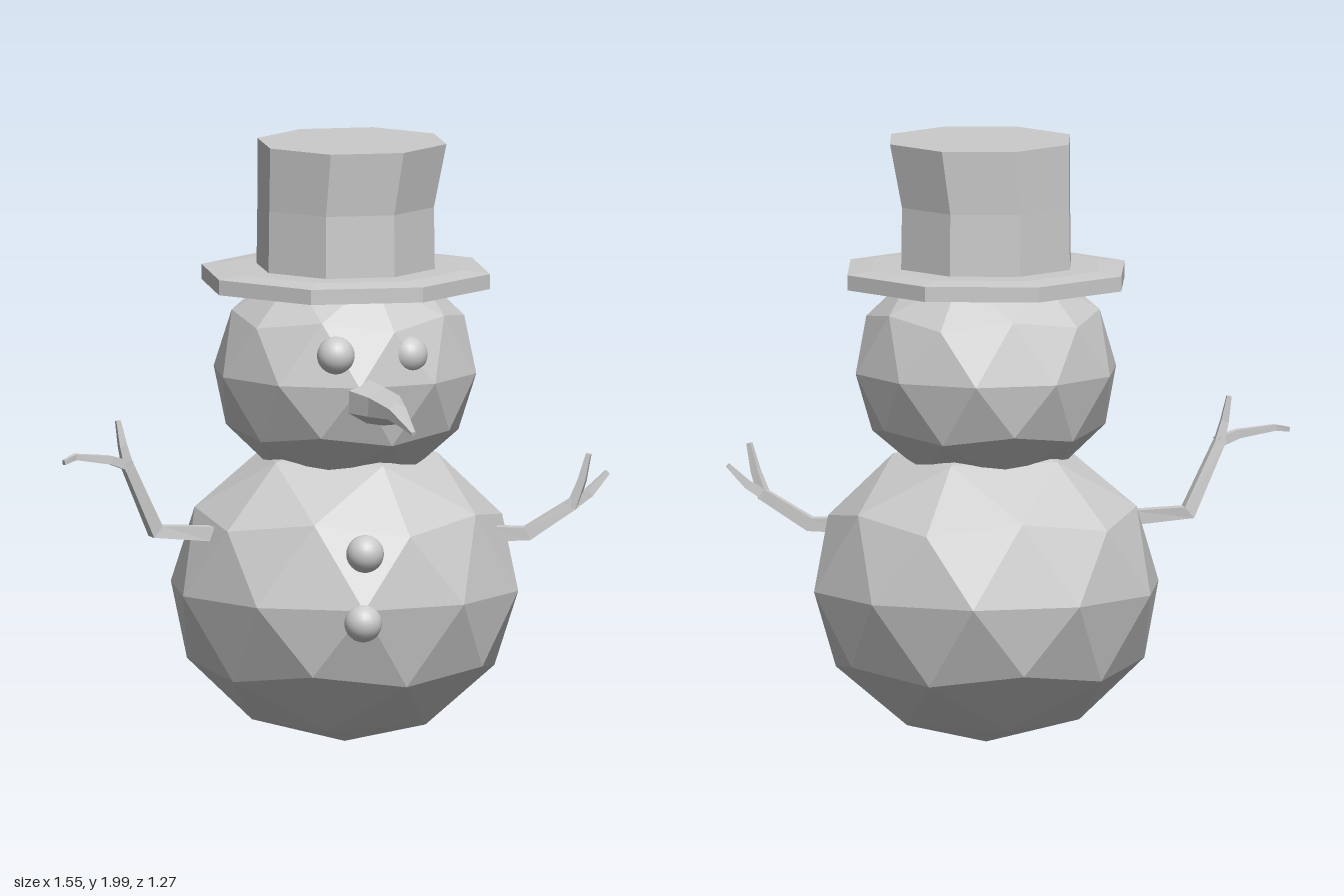
import * as THREE from 'three';

const flat = new THREE.MeshStandardMaterial({ color: 0xcccccc, flatShading: true });
const smooth = new THREE.MeshStandardMaterial({ color: 0xcccccc });
const rad = THREE.MathUtils.degToRad;

function add(group, name, geometry, material = flat) {
  const mesh = new THREE.Mesh(geometry, material);
  mesh.name = name;
  group.add(mesh);
  return mesh;
}

// Faceted snowball standing on one of its vertices
function snowball(group, name, center, rx, ry) {
  const g = new THREE.IcosahedronGeometry(1, 1);
  g.rotateZ(-Math.atan(2 / (1 + Math.sqrt(5))));
  g.rotateY(rad(-42));
  g.scale(rx, ry, rx);
  add(group, name, g).position.set(...center);
}

// Tapered tube: each station is [x, y, z, radius]
function loft(stations, sides) {
  const c = stations.map(s => new THREE.Vector3(s[0], s[1], s[2]));
  const last = c.length - 1;
  const u = new THREE.Vector3(0, 1, 0).cross(c[last].clone().sub(c[0])).normalize();
  const pos = [], idx = [];
  c.forEach((p, i) => {
    const t = c[Math.min(i + 1, last)].clone().sub(c[Math.max(i - 1, 0)]).normalize();
    const v = t.cross(u).normalize();
    for (let j = 0; j < sides; j++) {
      const a = ((j + 0.5) / sides) * Math.PI * 2, r = stations[i][3];
      const q = p.clone().addScaledVector(u, r * Math.cos(a)).addScaledVector(v, r * Math.sin(a));
      pos.push(q.x, q.y, q.z);
    }
  });
  for (let i = 0; i < last; i++) {
    for (let j = 0; j < sides; j++) {
      const k = (j + 1) % sides, a = i * sides, b = a + sides;
      idx.push(a + j, a + k, b + k, a + j, b + k, b + j);
    }
  }
  // End caps
  const e = last * sides;
  for (let j = 1; j < sides - 1; j++) idx.push(0, j + 1, j, e, e + j, e + j + 1);
  const g = new THREE.BufferGeometry();
  g.setAttribute('position', new THREE.Float32BufferAttribute(pos, 3));
  g.setIndex(idx);
  const out = g.toNonIndexed();
  out.computeVertexNormals();
  return out;
}

// Eight-sided turned part from [radius, y] points
function octagon(points, turn) {
  const g = new THREE.LatheGeometry(points.map(p => new THREE.Vector2(...p)), 8);
  g.rotateY(rad(-turn));
  return g;
}

function arm(group, name, limb, branches) {
  const g = new THREE.Group();
  g.name = name;
  add(g, 'limb', loft(limb, 4));
  branches.forEach(b => add(g, 'twig', loft(b, 4)));
  group.add(g);
}

export function createModel() {
  const model = new THREE.Group();
  model.name = 'snowman';

  snowball(model, 'body', [0.195, 0.522, -0.056], 0.582, 0.515);
  snowball(model, 'head', [0.195, 1.24, -0.054], 0.44, 0.39);

  // Hat: flat brim and a crown that flares and leans towards the top
  const hat = new THREE.Group();
  hat.name = 'hat';
  hat.position.set(0.186, 0, -0.043);
  model.add(hat);
  add(hat, 'brim', octagon([[0, 1.525], [0.487, 1.525], [0.487, 1.575], [0.4, 1.585], [0.28, 1.585]], 17));
  const crown = octagon([[0.3, 1.57], [0.297, 1.79], [0.318, 2], [0, 2]], 16);
  const p = crown.attributes.position;
  for (let i = 0; i < p.count; i++) {
    if (p.getY(i) > 1.9) p.setXYZ(i, p.getX(i) + 0.011, p.getY(i), p.getZ(i) + 0.018);
  }
  add(hat, 'crown', crown);

  // Eyes and buttons
  const balls = [
    ['leftEye', 0.1, 1.335, 0.31], ['rightEye', -0.125, 1.345, 0.19],
    ['upperButton', -0.155, 0.705, 0.345], ['lowerButton', -0.187, 0.48, 0.365],
  ];
  for (const [name, x, y, z] of balls) {
    add(model, name, new THREE.SphereGeometry(0.062, 24, 16), smooth).position.set(x, y, z);
  }

  // Crooked carrot
  add(model, 'nose', loft([
    [-0.06, 1.195, 0.27, 0.075], [-0.09, 1.19, 0.37, 0.064],
    [-0.16, 1.185, 0.49, 0.036], [-0.2, 1.165, 0.56, 0.022], [-0.238, 1.14, 0.632, 0.008],
  ], 6));

  // Forked stick arms
  arm(model, 'leftArm',
    [[0.46, 0.705, 0.33, 0.034], [0.55, 0.705, 0.43, 0.032], [0.67, 0.805, 0.535, 0.026]],
    [
      [[0.66, 0.79, 0.53, 0.024], [0.676, 0.88, 0.56, 0.018], [0.686, 0.968, 0.58, 0.011]],
      [[0.65, 0.79, 0.52, 0.024], [0.71, 0.835, 0.56, 0.02], [0.768, 0.9, 0.59, 0.011]],
    ]);
  arm(model, 'rightArm',
    [[-0.27, 0.73, -0.23, 0.034], [-0.43, 0.745, -0.33, 0.034], [-0.545, 0.985, -0.36, 0.024]],
    [
      [[-0.535, 0.96, -0.357, 0.024], [-0.555, 1.04, -0.365, 0.018], [-0.566, 1.122, -0.375, 0.011]],
      [[-0.53, 0.97, -0.355, 0.024], [-0.6, 0.995, -0.38, 0.02], [-0.71, 1.012, -0.435, 0.014], [-0.772, 1, -0.43, 0.011]],
    ]);

  return model;
}
